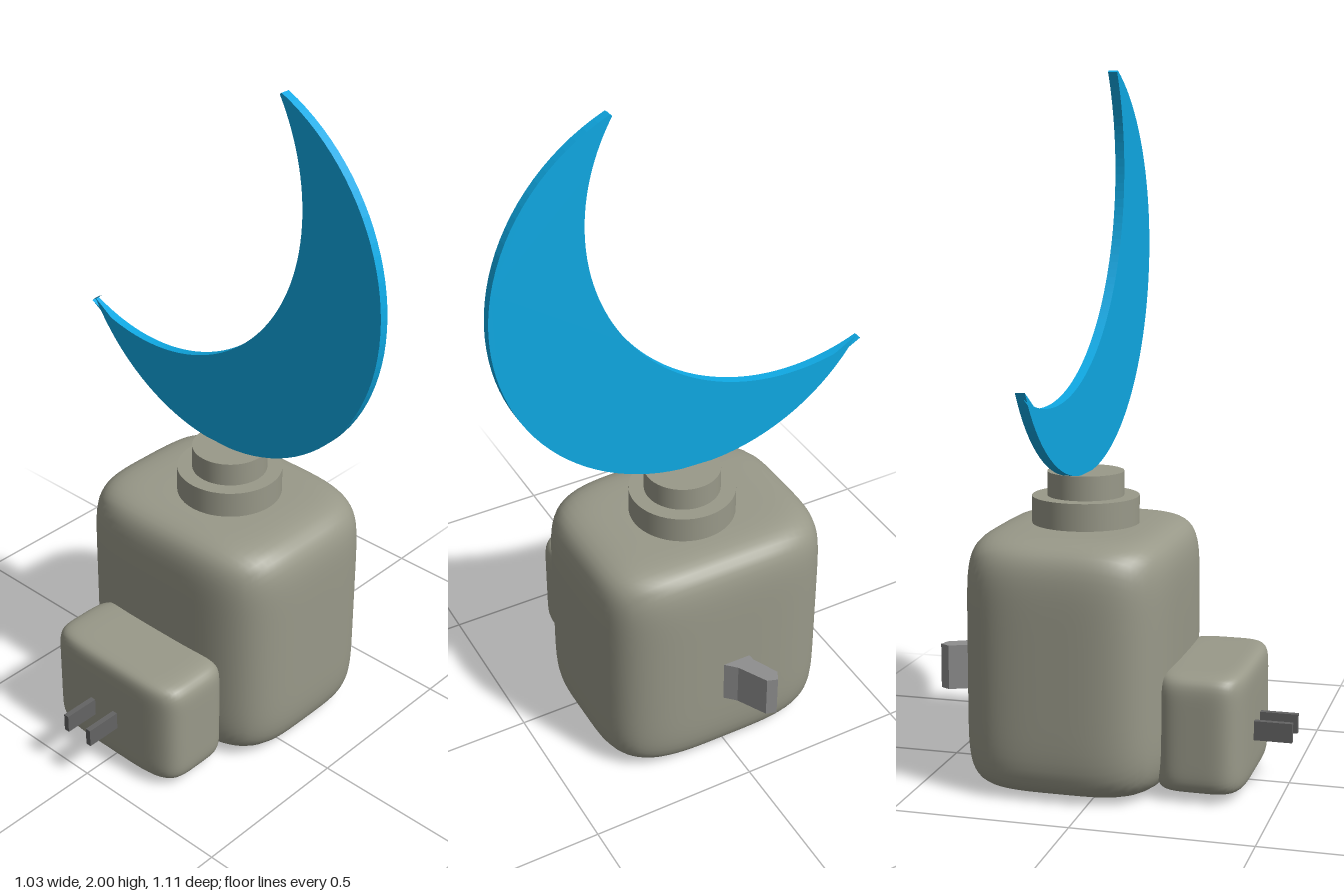
import * as THREE from 'three';
import { mergeVertices } from 'three/addons/utils/BufferGeometryUtils.js';

const paint = (color) => new THREE.MeshStandardMaterial({ color });
const shell = paint(0x999989);
const switchGrey = paint(0x8e8e8e);
const prongGrey = paint(0x636363);
const blue = paint(0x0fa9e4);

// Softly bulging box: plan sets corner squareness seen from above, rim along the top and bottom edges
function softBox(hx, hy, hz, plan, rim) {
  let geo = new THREE.BoxGeometry(2, 2, 2, 24, 24, 24);
  geo.deleteAttribute('uv');
  geo.deleteAttribute('normal');
  geo = mergeVertices(geo);
  const p = geo.attributes.position;
  for (let i = 0; i < p.count; i++) {
    const x = p.getX(i), y = p.getY(i), z = p.getZ(i);
    const flat = Math.pow(Math.abs(x) ** plan + Math.abs(z) ** plan, 1 / plan);
    const r = Math.pow(flat ** rim + Math.abs(y) ** rim, 1 / rim);
    p.setXYZ(i, (x / r) * hx, (y / r) * hy, (z / r) * hz);
  }
  geo.computeVertexNormals();
  return geo;
}

// Crescent between two arcs, standing in the yz plane with a slight turn and lean
function crescentGeometry() {
  const shape = new THREE.Shape();
  shape.absarc(0.03, 1.46, 0.592, 1.989, 5.745, false);
  shape.absarc(0.31, 1.69, 0.598, 5.13, 2.604, true);
  const depth = 0.027;
  const geo = new THREE.ExtrudeGeometry(shape, { depth, bevelEnabled: false, curveSegments: 32 });
  geo.translate(0, 0, -depth / 2);
  geo.rotateY(Math.PI / 2);
  const p = geo.attributes.position;
  for (let i = 0; i < p.count; i++) {
    p.setX(i, p.getX(i) + 0.098 - 0.035 * p.getZ(i) - 0.015 * (p.getY(i) - 0.87));
  }
  geo.computeVertexNormals();
  return geo;
}

// Bent lever, drawn in plan and extruded upwards
function leverGeometry() {
  const plan = [[0.36, 0.04], [0.39, 0.03], [0.42, 0], [0.505, -0.045], [0.515, -0.075],
    [0.487, -0.09], [0.41, -0.055], [0.36, -0.055]];
  const shape = new THREE.Shape(plan.map(([x, z]) => new THREE.Vector2(x, -z)));
  const geo = new THREE.ExtrudeGeometry(shape, { depth: 0.13, bevelEnabled: false });
  geo.rotateX(-Math.PI / 2);
  return geo;
}

export function createModel() {
  const group = new THREE.Group();
  const add = (name, geo, mat, x = 0, y = 0, z = 0) => {
    const mesh = new THREE.Mesh(geo, mat);
    mesh.name = name;
    mesh.position.set(x, y, z);
    group.add(mesh);
  };

  // Housing and plug block
  add('body', softBox(0.295, 0.36, 0.36, 3.8, 7.5), shell, 0.095, 0.362, 0);
  add('plugBlock', softBox(0.13, 0.171, 0.249, 4.5, 9), shell, -0.28, 0.19, 0.002);

  // Plug prongs
  for (const z of [-0.06, 0.031]) {
    add('prong', new THREE.BoxGeometry(0.14, 0.055, 0.017), prongGrey, -0.448, 0.168, z);
  }

  // Stepped collar under the crescent
  add('lowerCollar', new THREE.CylinderGeometry(0.154, 0.154, 0.12, 48), shell, 0.1, 0.74, 0.01);
  add('upperCollar', new THREE.CylinderGeometry(0.11, 0.11, 0.11, 48), shell, 0.1, 0.815, 0.01);

  // Side switch and crescent shade
  add('switchLever', leverGeometry(), switchGrey, 0, 0.224, 0);
  add('crescent', crescentGeometry(), blue);

  return group;
}
